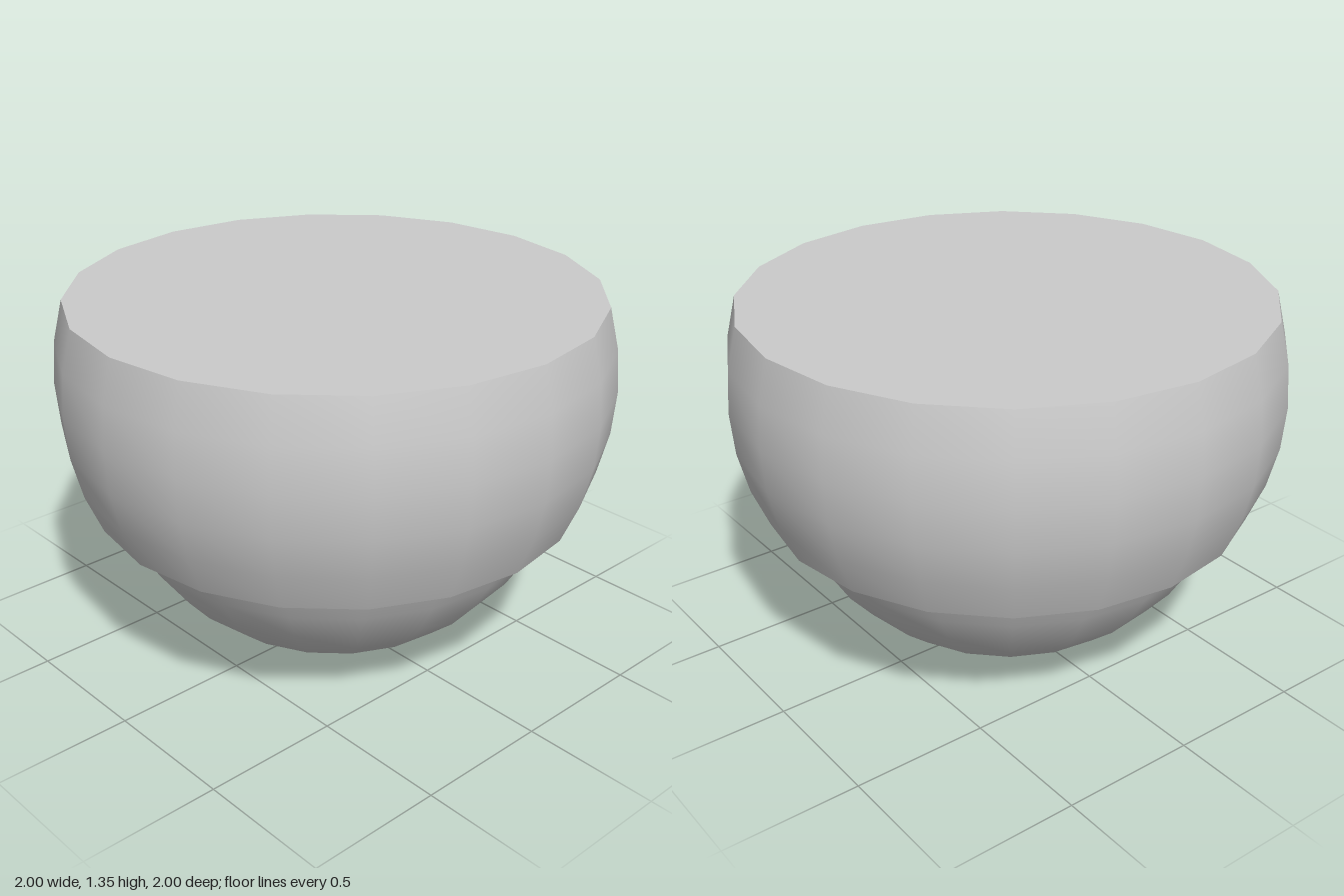
import * as THREE from 'three';

const SIDES = 20;
const STEP = Math.PI / 20; // 9 degrees between rings

// Points on a circular arc, in ring steps measured from the equator
function arc(radius, centerY, from, to) {
  const points = [];
  for (let i = from; i <= to; i++) {
    const r = Math.max(0, radius * Math.cos(i * STEP));
    points.push(new THREE.Vector2(r, centerY + radius * Math.sin(i * STEP)));
  }
  return points;
}

export function createModel() {
  const group = new THREE.Group();
  const material = new THREE.MeshStandardMaterial({ color: 0xcccccc });

  function turn(name, points) {
    const mesh = new THREE.Mesh(new THREE.LatheGeometry(points, SIDES), material);
    mesh.name = name;
    group.add(mesh);
  }

  // Lower round bowl and the wider band around its upper half
  const bowl = arc(0.865, 0.865, -10, -2);
  const band = arc(1, 1.04, -3, 2);
  const bottom = band[0];
  const top = band[band.length - 1];
  bowl[bowl.length - 1].y = bottom.y;

  turn('lowerBowl', bowl);
  turn('upperBand', band);

  // Flat step under the band and flat lid, kept separate for sharp edges
  turn('bandUnderside', [bowl[bowl.length - 1], bottom]);
  turn('flatTop', [top, new THREE.Vector2(0, top.y)]);

  return group;
}
